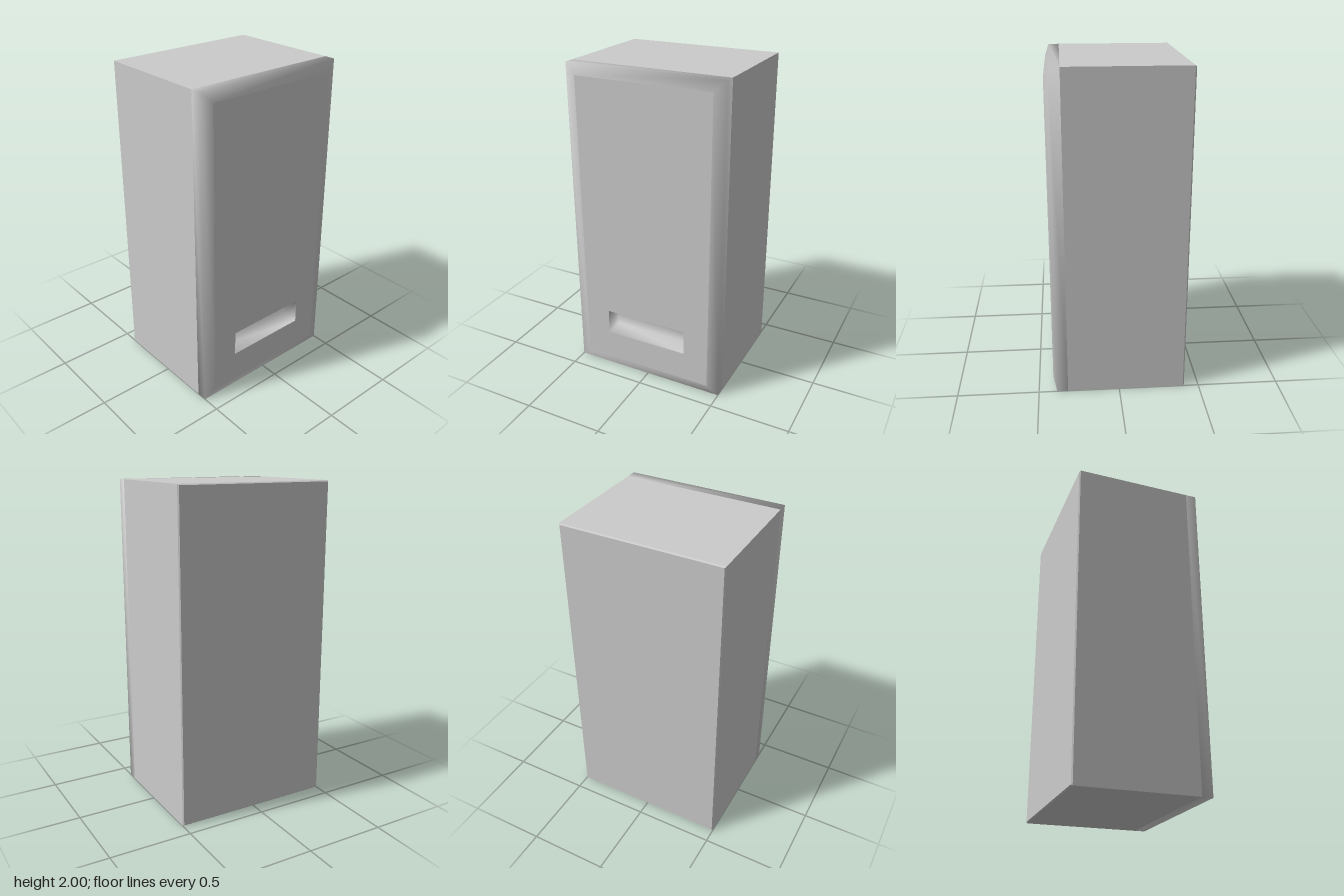
import * as THREE from 'three';

const grey = new THREE.MeshStandardMaterial({ color: 0xcccccc });

// Rectangular ring of four corners, counter-clockwise seen from the front
const ring = (x, y0, y1, z) => [[-x, y0, z], [x, y0, z], [x, y1, z], [-x, y1, z]];

// Skin a list of rings running back to front, with optional caps
function loft(rings, { inward = false, capBack = false, capFront = false, flat = false } = {}) {
  const index = [];
  const quad = (a, b, c, d) => index.push(...(inward ? [a, c, b, a, d, c] : [a, b, c, a, c, d]));
  for (let r = 0; r < rings.length - 1; r++) {
    for (let i = 0; i < 4; i++) {
      const j = (i + 1) % 4;
      quad(r * 4 + i, r * 4 + j, r * 4 + 4 + j, r * 4 + 4 + i);
    }
  }
  if (capBack) quad(3, 2, 1, 0);
  if (capFront) {
    const n = (rings.length - 1) * 4;
    quad(n, n + 1, n + 2, n + 3);
  }
  let geo = new THREE.BufferGeometry();
  geo.setAttribute('position', new THREE.Float32BufferAttribute(rings.flat(2), 3));
  geo.setIndex(index);
  if (flat) geo = geo.toNonIndexed();
  geo.computeVertexNormals();
  return geo;
}

export function createModel() {
  const group = new THREE.Group();
  const add = (name, geo) => {
    const mesh = new THREE.Mesh(geo, grey);
    mesh.name = name;
    group.add(mesh);
  };

  // Cabinet box with a fine bevel round the back
  add('cabinet', loft([
    ring(0.493, 0.007, 1.993, -0.41),
    ring(0.5, 0, 2, -0.402),
    ring(0.5, 0, 2, 0.32),
  ], { capBack: true, flat: true }));

  // Softly shaded front rim, chamfered towards the baffle
  add('frontRim', loft([
    ring(0.5, 0, 2, 0.32),
    ring(0.5, 0, 2, 0.387),
    ring(0.43, 0.065, 1.935, 0.41),
  ]));

  // Flat baffle with the port opening
  const outline = (x, y0, y1, Type) =>
    new Type(ring(x, y0, y1, 0).map(([px, py]) => new THREE.Vector2(px, py)));
  const baffle = outline(0.43, 0.065, 1.935, THREE.Shape);
  baffle.holes.push(outline(0.27, 0.255, 0.415, THREE.Path));
  add('baffle', new THREE.ShapeGeometry(baffle).translate(0, 0, 0.41));

  // Recessed port, closed at the back
  add('port', loft([
    ring(0.27, 0.255, 0.405, 0.29),
    ring(0.27, 0.255, 0.415, 0.41),
  ], { inward: true, capBack: true }));

  return group;
}
